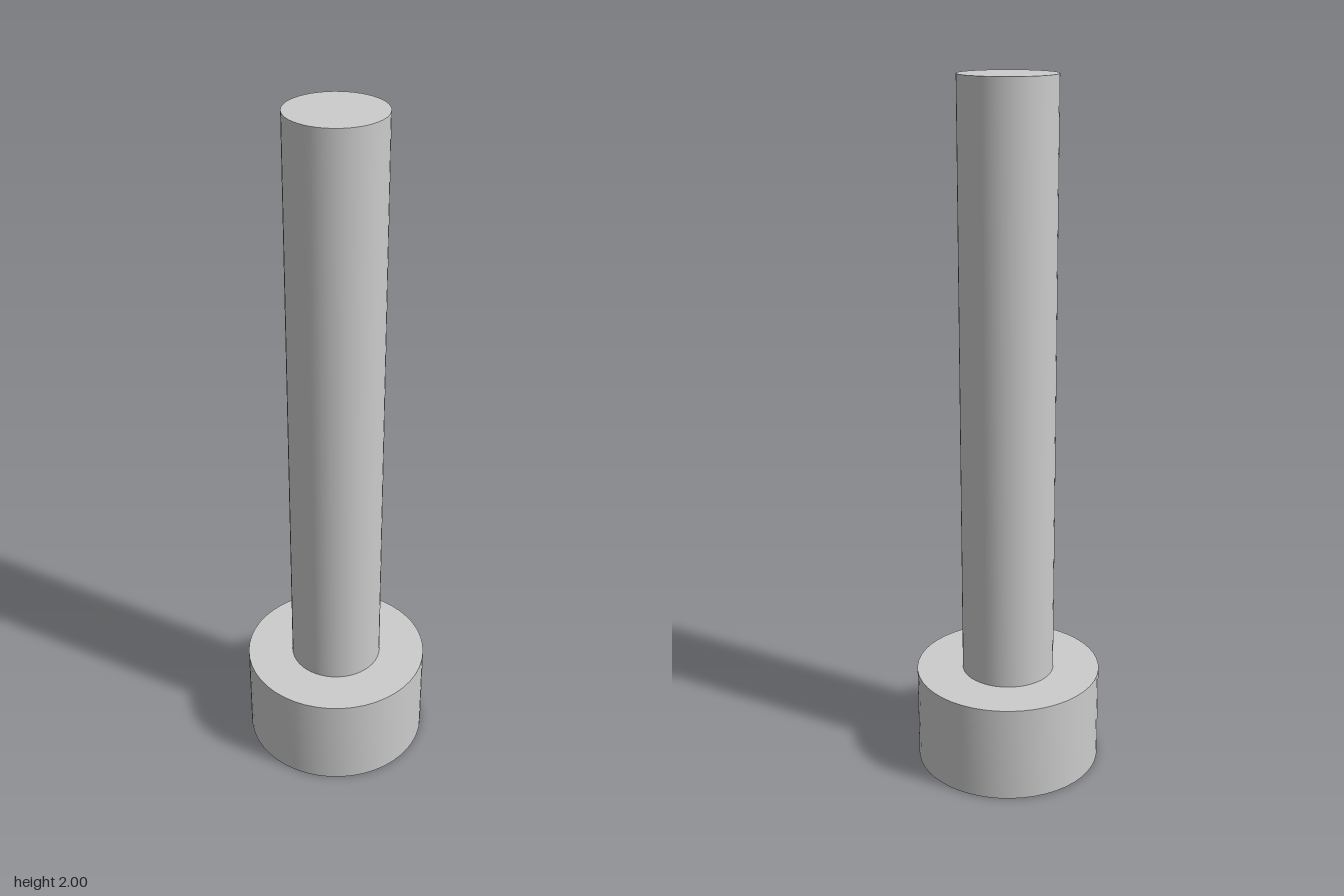
import * as THREE from 'three';
import { toCreasedNormals } from 'three/addons/utils/BufferGeometryUtils.js';

const HEAD_R = 0.271, HEAD_H = 0.285, SHANK_R = 0.135, TOP = 2;
const HEX_R = 0.13, HEX_DEPTH = 0.18, SEGMENTS = 48;

const material = new THREE.MeshStandardMaterial({ color: 0xcccccc });

// Turned surface around the y axis, with one corner on the x axis
function turned(points, sides) {
  const profile = points.map(([r, y]) => new THREE.Vector2(r, y));
  const geometry = new THREE.LatheGeometry(profile, sides, Math.PI / 2);
  return toCreasedNormals(geometry, Math.PI / 6);
}

export function createModel() {
  const group = new THREE.Group();
  group.name = 'socketHeadScrew';

  function add(name, geometry) {
    const mesh = new THREE.Mesh(geometry, material);
    mesh.name = name;
    group.add(mesh);
  }

  // Plain cylindrical shank with a flat end
  add('shank', turned([[SHANK_R, HEAD_H], [SHANK_R, TOP], [0, TOP]], SEGMENTS));

  // Head wall and the shoulder around the shank
  add('head', turned([[HEAD_R, 0], [HEAD_R, HEAD_H], [SHANK_R, HEAD_H]], SEGMENTS));

  // Flat face of the head with a hexagonal opening
  const face = new THREE.Shape().absarc(0, 0, HEAD_R, 0, Math.PI * 2, false);
  const corners = Array.from({ length: 6 }, (_, i) => {
    const a = (i * Math.PI) / 3;
    return new THREE.Vector2(HEX_R * Math.cos(a), HEX_R * Math.sin(a));
  });
  face.holes.push(new THREE.Path(corners));
  add('headFace', new THREE.ShapeGeometry(face, SEGMENTS).rotateX(Math.PI / 2));

  // Hexagonal key socket: floor and inward-facing walls
  add('hexSocket', turned([[0, HEX_DEPTH], [HEX_R, HEX_DEPTH], [HEX_R, 0]], 6));

  return group;
}
